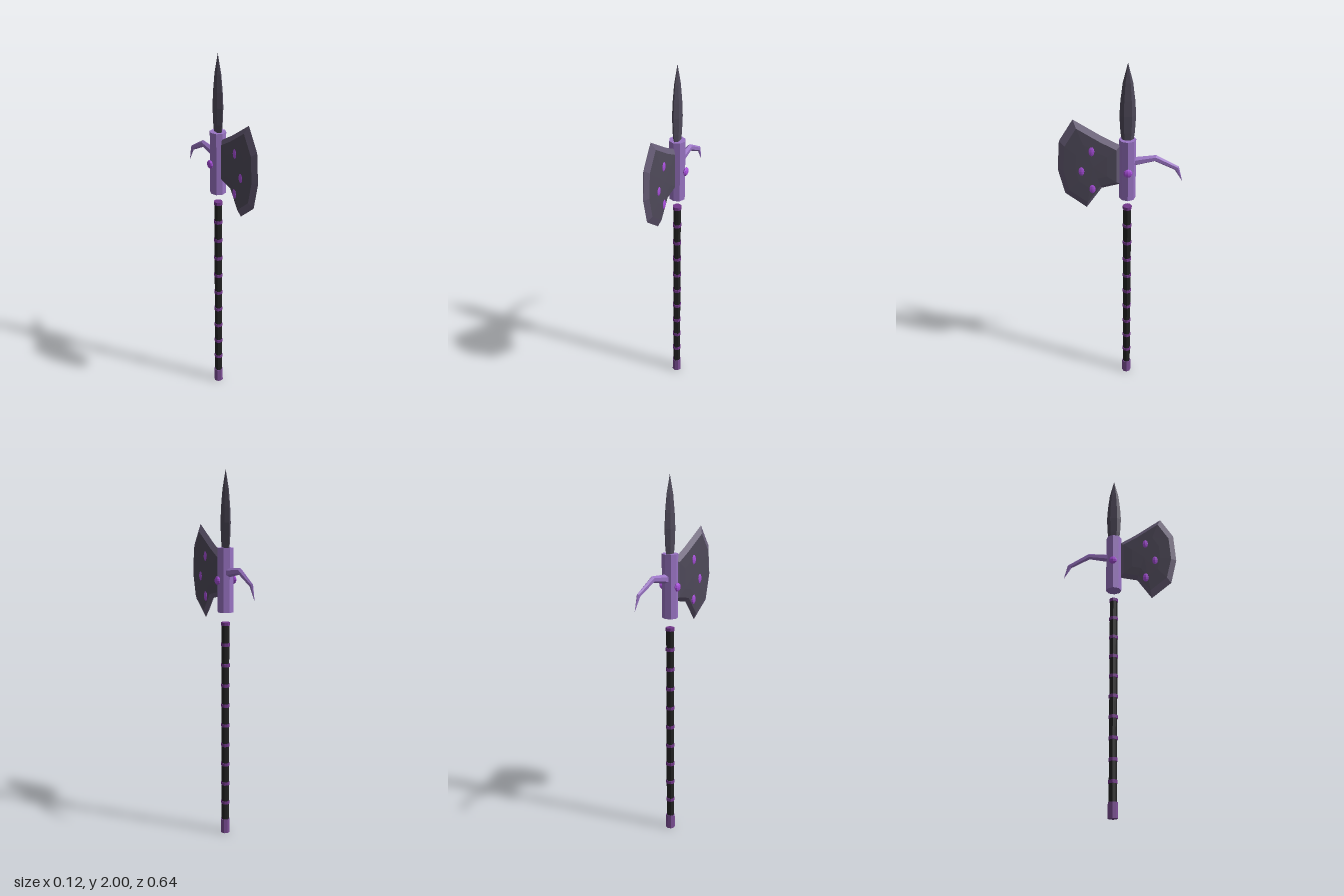
import * as THREE from 'three';

const AXIS_Z = -0.035; // the shaft runs slightly behind the centre

const paint = (color) => new THREE.MeshStandardMaterial({ color, flatShading: true });

function add(parent, name, geometry, material, x = 0, y = 0, z = 0) {
  const mesh = new THREE.Mesh(geometry, material);
  mesh.name = name;
  mesh.position.set(x, y, z);
  parent.add(mesh);
  return mesh;
}

// Flat-faced surface joining matching closed rings of Vector3
function loft(rings, flip = false) {
  const pos = [];
  const tri = (a, b, c) => (flip ? [a, c, b] : [a, b, c]).forEach((p) => pos.push(p.x, p.y, p.z));
  for (let r = 0; r < rings.length - 1; r++) {
    const A = rings[r], B = rings[r + 1], n = A.length;
    for (let i = 0; i < n; i++) {
      const j = (i + 1) % n;
      if (A[i].distanceTo(A[j]) > 1e-6) tri(A[i], A[j], B[j]);
      if (B[i].distanceTo(B[j]) > 1e-6) tri(A[i], B[j], B[i]);
    }
  }
  const g = new THREE.BufferGeometry();
  g.setAttribute('position', new THREE.Float32BufferAttribute(pos, 3));
  g.computeVertexNormals();
  return g;
}

export function createModel() {
  const model = new THREE.Group();
  model.name = 'halberd';
  const gripMat = paint(0x222222), ringMat = paint(0x74388c), pommelMat = paint(0x7d4f96);
  const socketMat = paint(0x9a74c4), gemMat = paint(0xa94fdc);
  const steelMat = paint(0x4f4a5a), rimMat = paint(0x665c76);

  // Handle: grip, pommel and evenly spaced rings
  const handle = new THREE.Group();
  handle.name = 'handle';
  handle.position.z = AXIS_Z;
  model.add(handle);
  add(handle, 'grip', new THREE.CylinderGeometry(0.021, 0.021, 1.13, 8), gripMat, 0, 0.635);
  add(handle, 'pommel', new THREE.CylinderGeometry(0.025, 0.026, 0.08, 8), pommelMat, 0, 0.04);
  for (let i = 0; i < 10; i++) {
    add(handle, 'gripRing', new THREE.CylinderGeometry(0.024, 0.024, 0.018, 8), ringMat, 0, 0.181 + i * 0.1128);
  }

  // Socket that carries the blade, spike and hook
  add(model, 'socket', new THREE.CylinderGeometry(0.043, 0.043, 0.34, 8), socketMat, 0, 1.43, AXIS_Z);

  // Top spike: six-sided, flattened sideways
  const spikeProfile = [[0.028, 1.58], [0.036, 1.64], [0.041, 1.73], [0.036, 1.81], [0.025, 1.9], [0, 2]]
    .map(([r, y]) => new THREE.Vector2(r, y));
  add(model, 'spike', new THREE.LatheGeometry(spikeProfile, 6), steelMat, 0, 0, AXIS_Z).scale.x = 0.54;

  // Axe blade: outline as [z, y], sharp at the rim and thicker inside
  const outline = [
    [0.235, 1.713], [0.093, 1.618], [0, 1.565], [0, 1.342], [0.098, 1.32],
    [0.178, 1.204], [0.288, 1.295], [0.32, 1.437], [0.307, 1.597],
  ];
  const centre = [0.14, 1.455];
  const bladeRing = (k, x) => outline.map(([z, y]) => new THREE.Vector3(
    x, centre[1] + (y - centre[1]) * k, centre[0] + (z - centre[0]) * k));
  const blade = new THREE.Group();
  blade.name = 'axeBlade';
  model.add(blade);
  for (const s of [1, -1]) {
    add(blade, 'bladeRim', loft([bladeRing(1, 0), bladeRing(0.84, 0.018 * s)], s > 0), rimMat);
    add(blade, 'bladeFace',
      loft([bladeRing(0.84, 0.018 * s), bladeRing(0.5, 0.021 * s), bladeRing(0, 0.022 * s)], s > 0), steelMat);
  }

  // Back hook: tapering six-sided sections as [z, y, half width, half height]
  const hookPath = [
    [-0.06, 1.471, 0.018, 0.025], [-0.177, 1.488, 0.012, 0.018],
    [-0.288, 1.427, 0.007, 0.014], [-0.32, 1.348, 0, 0],
  ];
  const hookRings = hookPath.map(([z, y, w, h], i) => {
    const lean = [0, 0.2, 0.85, 1][i];
    return Array.from({ length: 6 }, (_, k) => {
      const a = (k / 6) * Math.PI * 2;
      const up = Math.cos(a) * h;
      return new THREE.Vector3(Math.sin(a) * w * 1.15, y + up * Math.cos(lean), z - up * Math.sin(lean));
    });
  });
  add(model, 'hook', loft(hookRings, true), socketMat).material.side = THREE.DoubleSide;

  // Gems on both sides of the socket and the blade
  const gemGeo = new THREE.SphereGeometry(1, 8, 6);
  for (const s of [1, -1]) {
    add(model, 'socketGem', gemGeo, gemMat, 0.05 * s, 1.43, AXIS_Z).scale.set(0.011, 0.023, 0.023);
    for (const [z, y] of [[0.147, 1.543], [0.2, 1.432], [0.147, 1.326]]) {
      add(blade, 'bladeGem', gemGeo, gemMat, 0.018 * s, y, z).scale.set(0.008, 0.028, 0.018);
    }
  }
  return model;
}
